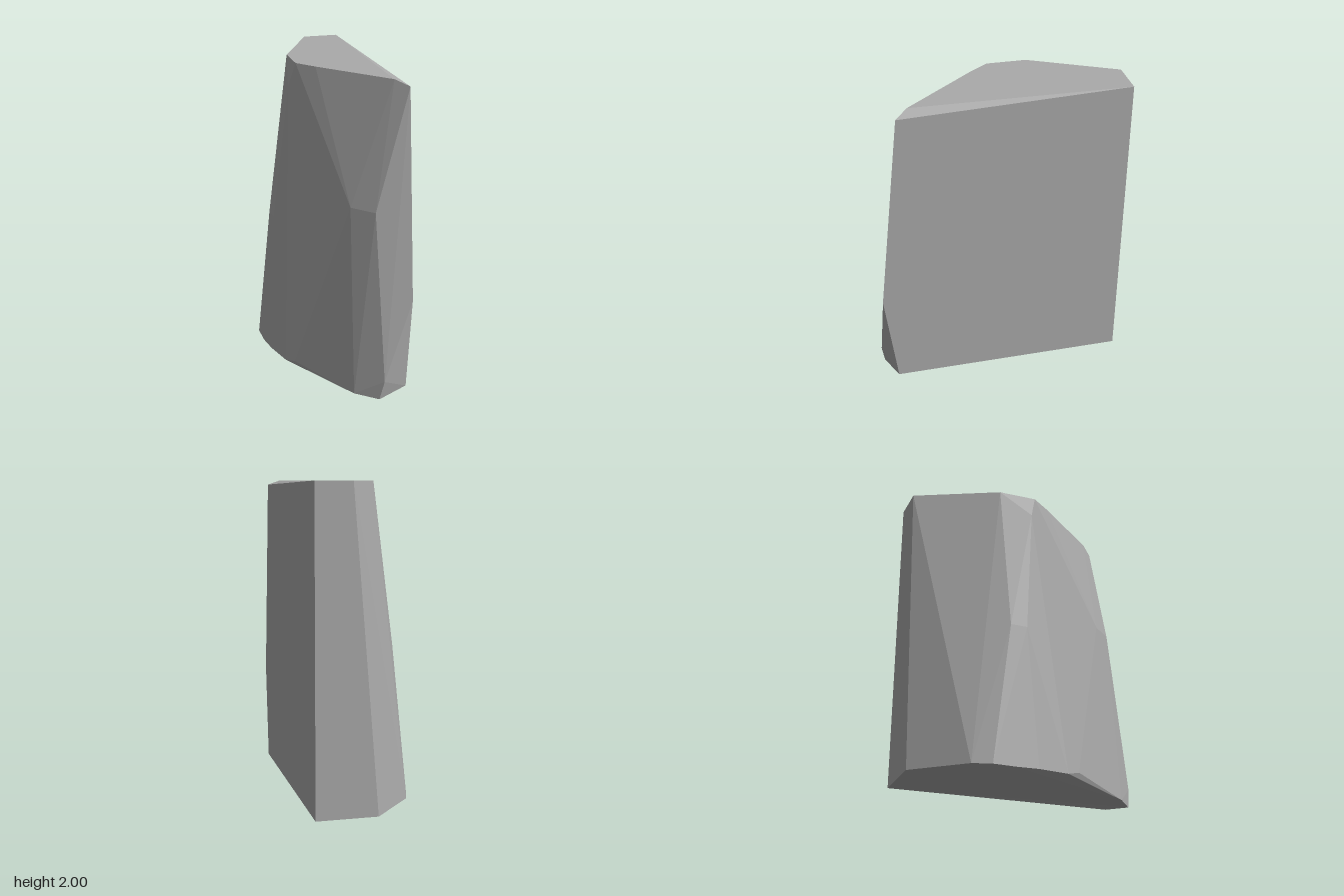
import * as THREE from 'three';
import { ConvexGeometry } from 'three/addons/geometries/ConvexGeometry.js';

export function createModel() {
  const group = new THREE.Group();
  group.name = 'stoneShard';
  const stone = new THREE.MeshStandardMaterial({ color: 0xaaaaaa });
  stone.name = 'stone grey';
  stone.flatShading = true;

  // Flat cut side
  const cutSide = [
    [0.35, 0, -0.8], [0.35, 2, -0.8], [0.35, 1.97, 0.64], [0.35, 0.66, 0.785], [0.35, 0.03, 0.71],
  ];
  // Top outline, narrower than the foot
  const top = [
    [0.12, 2, -0.8], [-0.15, 2, -0.27], [-0.16, 2, -0.02], [-0.07, 2, 0.11], [0.28, 2, 0.56],
  ];
  // Rounded foot outline
  const foot = [
    [-0.04, 0, -0.8], [-0.31, 0, -0.49], [-0.35, 0, -0.37], [-0.35, 0, -0.22], [-0.335, 0.01, -0.07],
    [-0.29, 0.02, 0.14], [-0.25, 0.05, 0.23], [0.02, 0, 0.66], [0.15, 0, 0.775], [0.175, 0.13, 0.795],
  ];
  // Chipped corners bulging between foot and top
  const chips = [
    [-0.2, 1.84, -0.06], [-0.29, 0.95, -0.13], [-0.29, 0.95, -0.24],
    [0.03, 1.21, 0.52], [0.145, 1.21, 0.655],
  ];

  const points = [...cutSide, ...top, ...foot, ...chips].map((p) => new THREE.Vector3(...p));
  const shard = new THREE.Mesh(new ConvexGeometry(points), stone);
  shard.name = 'shard';
  group.add(shard);
  return group;
}
